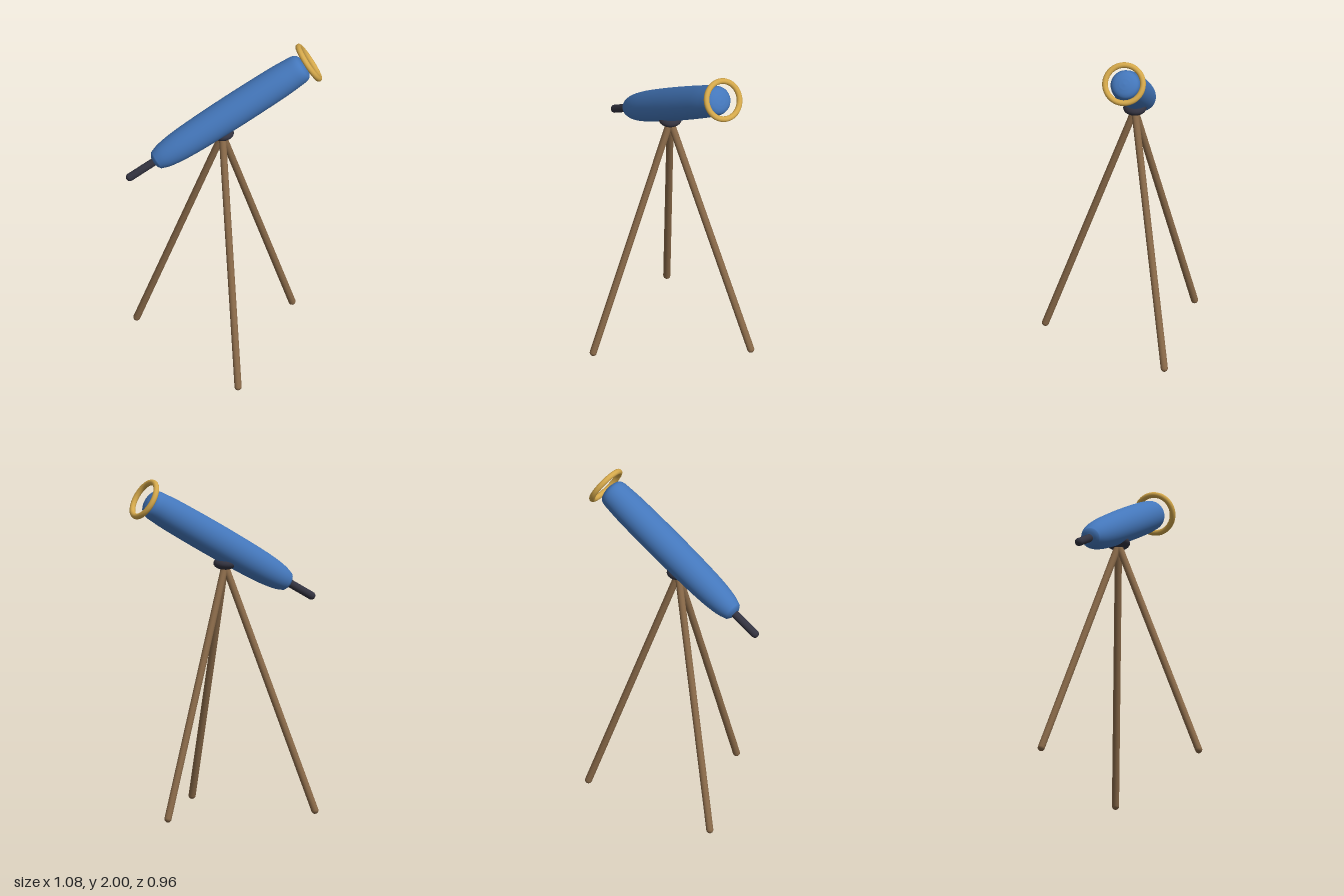
import * as THREE from 'three';

const mat = (color) => new THREE.MeshStandardMaterial({ color });
const V = (x, y, z) => new THREE.Vector3(x, y, z);
const UP = V(0, 1, 0);

export function createModel() {
  const model = new THREE.Group();
  const wood = mat(0x8b6b4a), dark = mat(0x333340), blue = mat(0x4477bb), gold = mat(0xd4a84b);

  const add = (parent, name, geometry, material) => {
    const mesh = new THREE.Mesh(geometry, material);
    mesh.name = name;
    parent.add(mesh);
    return mesh;
  };

  // Round-ended rod between two points
  const rod = (parent, name, a, b, radius, material) => {
    const dir = b.clone().sub(a);
    const mesh = add(parent, name, new THREE.CapsuleGeometry(radius, dir.length(), 8, 20), material);
    mesh.position.copy(a).add(b).multiplyScalar(0.5);
    mesh.quaternion.setFromUnitVectors(UP, dir.normalize());
  };

  // Tripod: three legs spread evenly below the hub
  const hubX = -0.02, spread = 0.533;
  const tripod = new THREE.Group();
  tripod.name = 'tripod';
  model.add(tripod);
  for (let i = 0; i < 3; i++) {
    const a = (i * Math.PI * 2) / 3;
    const foot = V(hubX + spread * Math.cos(a), 0.021, spread * Math.sin(a));
    rod(tripod, 'leg' + (i + 1), V(hubX, 1.46, 0), foot, 0.021, wood);
  }

  // Flattened mounting hub
  const hub = add(model, 'hub', new THREE.SphereGeometry(0.068, 32, 20), dark);
  hub.scale.y = 0.56;
  hub.position.set(hubX, 1.473, 0);

  // Telescope: local +y is the viewing axis, origin at the front ring
  const scope = new THREE.Group();
  scope.name = 'telescope';
  scope.position.set(0.45, 1.885, 0.228);
  scope.quaternion.setFromUnitVectors(UP, V(0.772, 0.51, 0.38).normalize());
  model.add(scope);

  // Bulging barrel, closed by a blunt rear end and a shallow front dome
  const side = new THREE.SplineCurve([
    [0.056, -1.07], [0.077, -1.0], [0.092, -0.85], [0.099, -0.55],
    [0.097, -0.25], [0.091, -0.12], [0.084, -0.06], [0.064, -0.036], [0.03, -0.025],
  ].map(([r, y]) => new THREE.Vector2(r, y))).getPoints(40);
  const profile = [
    new THREE.Vector2(0, -1.088), new THREE.Vector2(0.035, -1.084),
    ...side, new THREE.Vector2(0, -0.022),
  ];
  add(scope, 'barrel', new THREE.LatheGeometry(profile, 40), blue);

  rod(scope, 'eyepiece', V(0, -1.254, 0), V(0, -1.0, 0), 0.024, dark);

  const ring = add(scope, 'frontRing', new THREE.TorusGeometry(0.112, 0.017, 16, 56), gold);
  ring.rotation.x = Math.PI / 2;

  return model;
}
